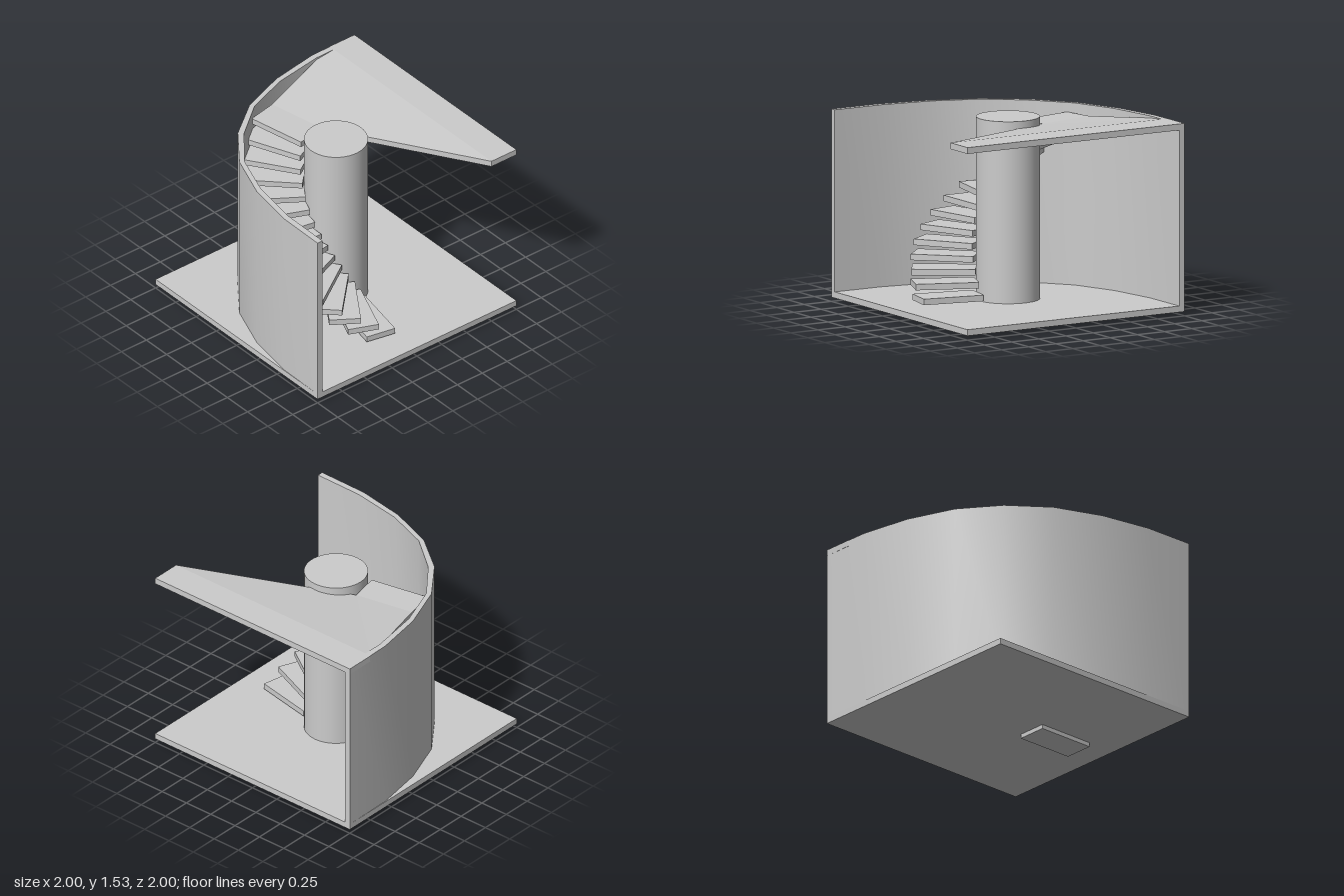
import * as THREE from 'three';
import { toCreasedNormals } from 'three/addons/utils/BufferGeometryUtils.js';

const FLOOR = 0.034, FLOOR_TOP = 0.083, TOP = 1.526, SLAB = 0.048;
const STEPS = 16, RISE = 0.0933, TURN = Math.PI / 16;

export function createModel() {
  const model = new THREE.Group();
  const material = new THREE.MeshStandardMaterial({ color: 0xcccccc });
  const add = (name, geometry, parent = model) => {
    const mesh = new THREE.Mesh(geometry, material);
    mesh.name = name;
    parent.add(mesh);
    return mesh;
  };

  // Square floor slab
  add('floor', new THREE.BoxGeometry(2, FLOOR_TOP - FLOOR, 2)).position.y = (FLOOR + FLOOR_TOP) / 2;

  // Central column
  const height = TOP - FLOOR_TOP;
  add('column', new THREE.CylinderGeometry(0.25, 0.25, height, 48)).position.y = FLOOR_TOP + height / 2;

  // Curved wall: half of each outline as (x, z), mirrored about the diagonal
  const outline = (half) => [...half, ...half.slice(0, -1).reverse().map(([x, z]) => [z, x])];
  const outer = outline([[-1, 1], [-0.995, 0.57], [-0.925, 0.155], [-0.78, -0.235], [-0.545, -0.545]]);
  const inner = outline([[-0.95, 1], [-0.945, 0.575], [-0.88, 0.155], [-0.747, -0.21], [-0.51, -0.51]]);
  const plan = new THREE.Shape([...outer, ...inner.reverse()].map(([x, z]) => new THREE.Vector2(x, -z)));
  const wall = new THREE.ExtrudeGeometry(plan, { depth: height, bevelEnabled: false });
  wall.rotateX(-Math.PI / 2);
  add('curvedWall', toCreasedNormals(wall, 0.6)).position.y = FLOOR_TOP;

  // Spiral of treads turning around the column
  const stairs = new THREE.Group();
  stairs.name = 'spiralStairs';
  model.add(stairs);
  const stepBottom = (i) => i * RISE + (i ? 0.003 : 0);
  for (let i = 0; i < STEPS; i++) {
    const pivot = new THREE.Group();
    pivot.name = 'stepPivot';
    pivot.rotation.y = -i * TURN;
    stairs.add(pivot);
    add('step', new THREE.BoxGeometry(0.25, SLAB, 0.5), pivot)
      .position.set(0, stepBottom(i) + SLAB / 2, 0.5);
  }

  // Landing: lofted from the far edge of the last step out to a flat strip
  const last = (STEPS - 1) * TURN;
  const stepCorner = (r) => [
    -Math.sin(last) * r - Math.cos(last) * 0.125,
    Math.cos(last) * r - Math.sin(last) * 0.125,
  ];
  const section = (front, back, y, t) => [
    [front[0], y, front[1]], [front[0], y + t, front[1]],
    [back[0], y + t, back[1]], [back[0], y, back[1]],
  ];
  const sections = [
    section(stepCorner(0.25), stepCorner(0.75), stepBottom(STEPS - 1), SLAB),
    section([0.75, 1], [0.75, -1], TOP - 0.05, 0.05),
    section([1, 1], [1, -1], TOP - 0.05, 0.05),
  ];
  const points = [];
  const quad = (a, b, c, d) => points.push(...a, ...b, ...c, ...a, ...c, ...d);
  for (let i = 0; i < sections.length - 1; i++) {
    const s = sections[i], n = sections[i + 1];
    for (let j = 0; j < 4; j++) {
      const k = (j + 1) % 4;
      quad(s[j], n[j], n[k], s[k]);
    }
  }
  quad(...sections[0]);
  quad(...[...sections[2]].reverse());
  const landing = new THREE.BufferGeometry();
  landing.setAttribute('position', new THREE.Float32BufferAttribute(points, 3));
  landing.computeVertexNormals();
  add('landing', landing);

  return model;
}
